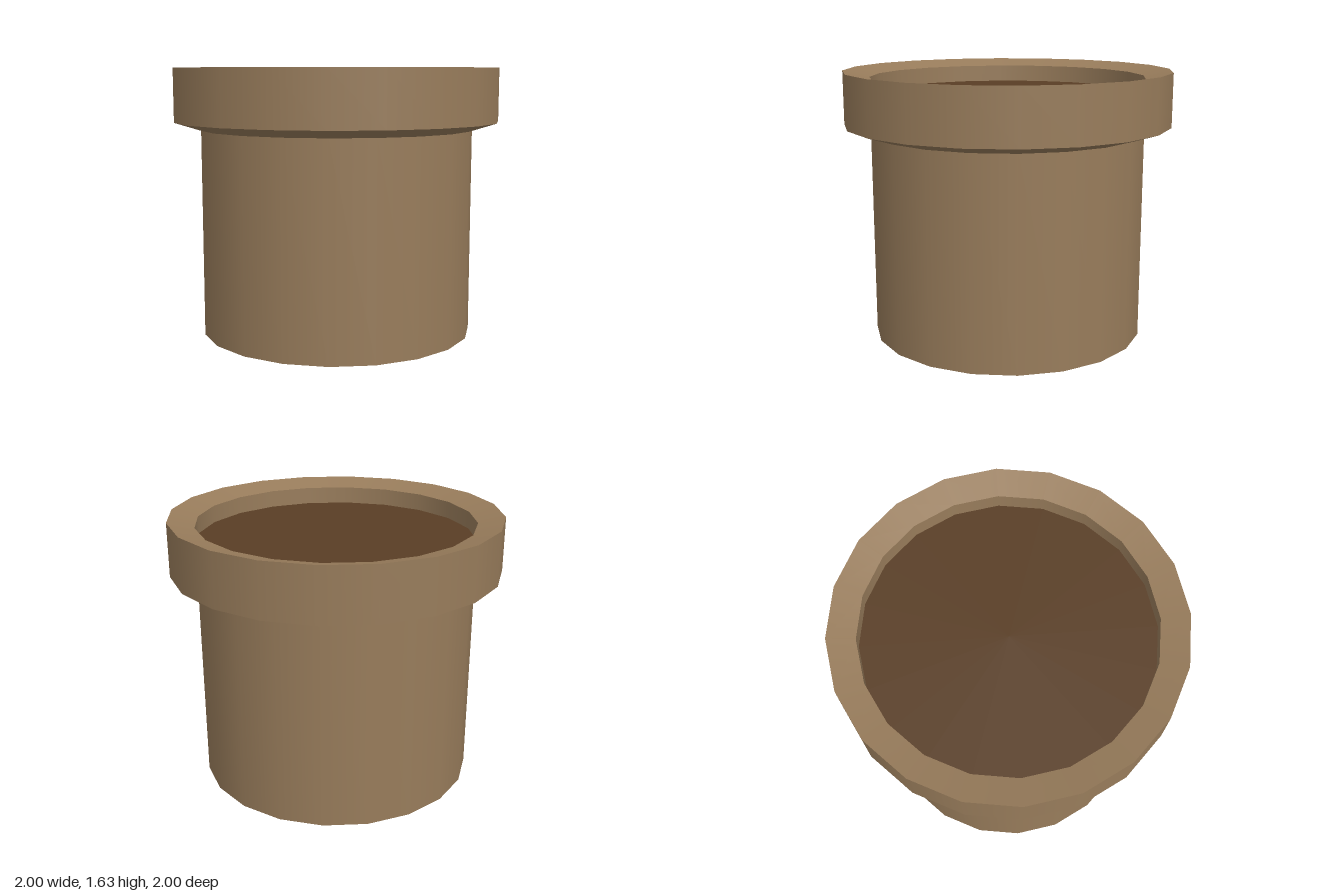
import * as THREE from 'three';

const SIDES = 20;

export function createModel() {
  const pot = new THREE.Group();
  pot.name = 'plantPot';

  const clay = new THREE.MeshStandardMaterial({ color: 0x987c5b });
  clay.name = 'brown clay';
  const earth = new THREE.MeshStandardMaterial({ color: 0x593e25 });
  earth.name = 'dark soil';

  // One band of revolution; separate bands keep the profile corners sharp
  function band(name, material, r0, y0, r1, y1) {
    const profile = [new THREE.Vector2(r0, y0), new THREE.Vector2(r1, y1)];
    const mesh = new THREE.Mesh(new THREE.LatheGeometry(profile, SIDES), material);
    mesh.name = name;
    pot.add(mesh);
  }

  // Flat disc facing up or down
  function disc(name, material, radius, y, up) {
    const mesh = new THREE.Mesh(new THREE.CircleGeometry(radius, SIDES), material);
    mesh.rotation.x = up ? -Math.PI / 2 : Math.PI / 2;
    mesh.position.y = y;
    mesh.name = name;
    pot.add(mesh);
  }

  // Body
  disc('base', clay, 0.84, 0, false);
  band('bodyWall', clay, 0.84, 0, 0.84, 1.26);

  // Overhanging lip, its top sloping inward
  band('lipUnderside', clay, 0.84, 1.26, 1, 1.31);
  band('lipWall', clay, 1, 1.31, 1, 1.635);
  band('lipTop', clay, 1, 1.635, 0.84, 1.595);
  band('innerWall', clay, 0.84, 1.595, 0.84, 1.49);

  // Soil filling
  disc('soil', earth, 0.84, 1.49, true);

  return pot;
}
